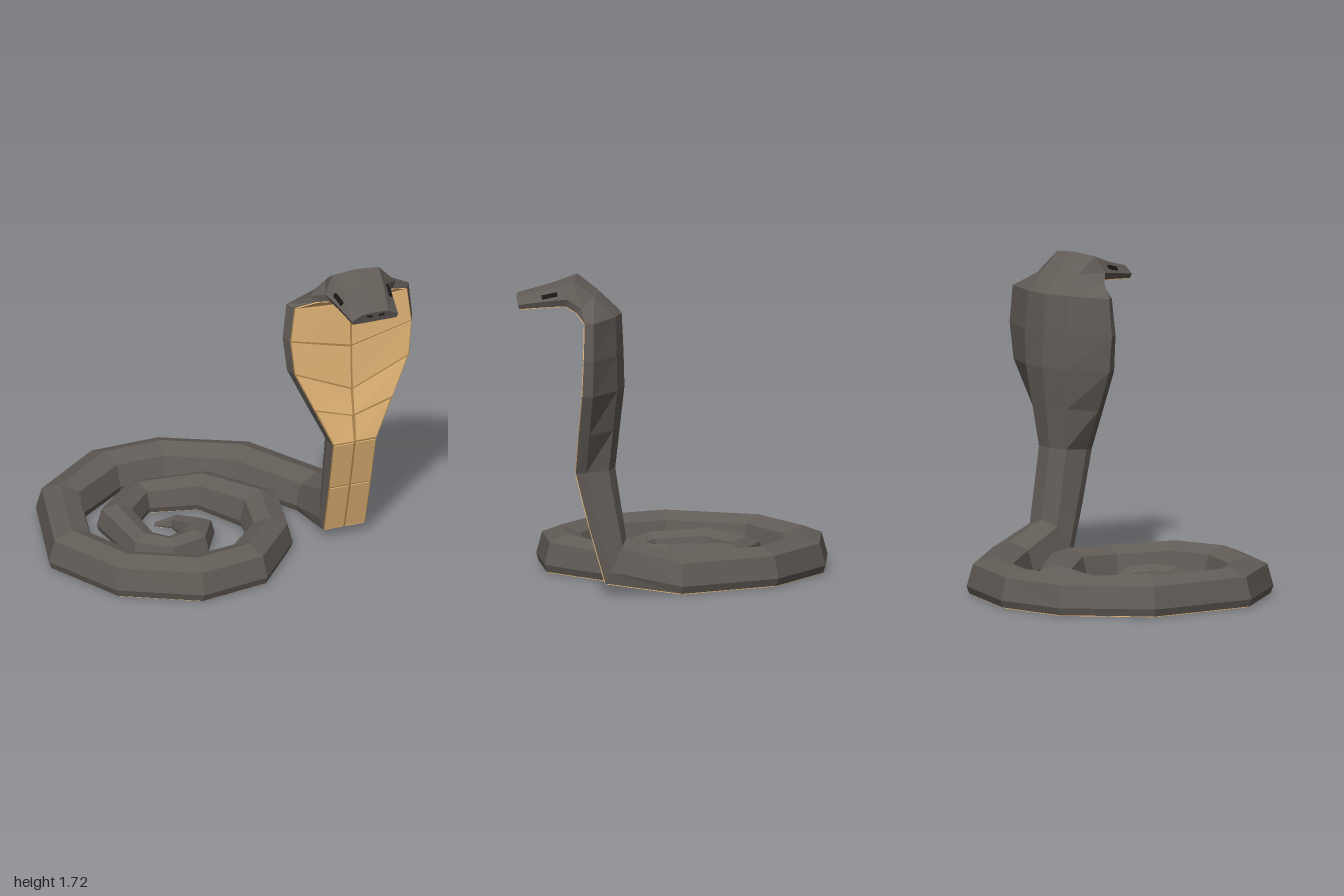
import * as THREE from 'three';

const V = (x, y, z) => new THREE.Vector3(x, y, z);
const NECK_X = 0.618;

// coil centreline from tail tip outwards: x, z, half width
const COIL = [
  [-0.30, -0.135, 0.012], [-0.20, -0.10, 0.04], [-0.125, 0.085, 0.085], [-0.20, 0.21, 0.09],
  [-0.35, 0.25, 0.087], [-0.475, 0.165, 0.095], [-0.51, -0.16, 0.107], [-0.305, -0.37, 0.1],
  [0.04, -0.305, 0.113], [0.25, 0.02, 0.13], [0.2, 0.31, 0.12], [-0.03, 0.58, 0.135],
  [-0.335, 0.63, 0.138], [-0.68, 0.45, 0.135], [-0.865, 0.10, 0.14], [-0.74, -0.41, 0.135],
  [-0.39, -0.67, 0.14], [-0.06, -0.68, 0.14], [0.33, -0.485, 0.143], [0.60, -0.05, 0.14],
];

// neck, hood and head: belly z,y; spine z,y; half widths of belly, side, shoulder; drop of belly crease
const NECK = [
  [0.325, 0.06, 0.22, 0.29, 0.12, 0.132, 0.1, 0],
  [0.41, 0.36, 0.25, 0.48, 0.122, 0.136, 0.1, 0],
  [0.485, 0.66, 0.28, 0.675, 0.125, 0.14, 0.1, 0],
  [0.463, 0.88, 0.255, 0.9, 0.225, 0.245, 0.125, 0.07],
  [0.438, 1.11, 0.23, 1.12, 0.33, 0.35, 0.15, 0.15],
  [0.428, 1.31, 0.235, 1.31, 0.35, 0.373, 0.16, 0.09],
  [0.425, 1.51, 0.245, 1.52, 0.325, 0.352, 0.14, 0.02],
  [0.48, 1.555, 0.37, 1.64, 0.22, 0.25, 0.13, 0],
  [0.54, 1.58, 0.49, 1.72, 0.165, 0.185, 0.135, 0],
  [0.62, 1.572, 0.62, 1.672, 0.148, 0.163, 0.115, 0],
  [0.79, 1.555, 0.81, 1.62, 0.125, 0.133, 0.075, 0],
];

// eight-point section: belly edge, side, shoulder, spine, mirrored, then belly crease
function section(base, up, side, widths, sideH, shoulderH, drop) {
  const p = (w, h) => base.clone().addScaledVector(side, w).addScaledVector(up, h);
  const [b, s, t] = widths;
  const crease = base.clone();
  crease.y -= drop;
  return [p(b, 0), p(s, sideH), p(t, shoulderH), p(0, 1),
    p(-t, shoulderH), p(-s, sideH), p(-b, 0), crease];
}

function buildRings() {
  const rings = COIL.map(([x, z, w], i) => {
    const here = V(x, 0, z);
    const dir = V(0, 0, 0);
    if (i > 0) dir.add(here.clone().sub(V(COIL[i - 1][0], 0, COIL[i - 1][1])).normalize());
    const next = COIL[i + 1] || [NECK_X, 0.3];
    dir.add(V(next[0], 0, next[1]).sub(here).normalize()).normalize();
    const height = Math.min(0.2, w * 1.5);
    return section(V(x, 0.005, z), V(0, height, 0), V(dir.z, 0, -dir.x),
      [w * 0.9, w, w * 0.76], 0.2, 0.8, 0);
  });
  NECK.forEach(([bz, by, sz, sy, b, s, t, drop], i) => {
    const base = V(NECK_X, by, bz);
    rings.push(section(base, V(NECK_X, sy, sz).sub(base), V(1, 0, 0),
      [b, s, t], i > 8 ? 0.35 : 0.28, i > 7 ? 0.93 : 0.86, drop));
  });
  return rings;
}

function soup(name, quads, material) {
  const pts = [];
  for (const [a, b, c, d] of quads) pts.push(a, b, c, a, c, d);
  const geo = new THREE.BufferGeometry().setFromPoints(pts);
  geo.computeVertexNormals();
  const mesh = new THREE.Mesh(geo, material);
  mesh.name = name;
  return mesh;
}

// thin raised plate, inset from the four given corners
function plate(corners, quads) {
  const [a, b, c, d] = corners;
  const n = c.clone().sub(a).cross(d.clone().sub(b)).normalize();
  const mix = (u, v) => a.clone().lerp(b, u).lerp(d.clone().lerp(c, u), v);
  const du = Math.min(0.3, 0.006 / a.distanceTo(b));
  const dv = Math.min(0.3, 0.006 / a.distanceTo(d));
  const low = [mix(du, dv), mix(1 - du, dv), mix(1 - du, 1 - dv), mix(du, 1 - dv)];
  const high = low.map((p) => p.clone().addScaledVector(n, 0.005));
  quads.push(high);
  for (let i = 0; i < 4; i++) {
    const j = (i + 1) % 4;
    quads.push([low[i], low[j], high[j], high[i]]);
  }
}

export function createModel() {
  const group = new THREE.Group();
  const mat = (color) => new THREE.MeshStandardMaterial({ color, flatShading: true });
  const skin = mat(0x625c57);
  const tan = mat(0xe6b878);
  const groove = mat(0xb08850);
  const dark = mat(0x1c1a19);

  const rings = buildRings();
  const hide = [], belly = [], scales = [];
  for (let i = 0; i < rings.length - 1; i++) {
    const A = rings[i], B = rings[i + 1];
    for (let j = 0; j < 8; j++) {
      const k = (j + 1) % 8;
      const quad = [A[j], A[k], B[k], B[j]];
      if (j < 6) { hide.push(quad); continue; }
      belly.push(quad);
      // two scale rows per coil segment, one per neck segment
      const rows = i > 1 && i < COIL.length - 1 ? 2 : 1;
      for (let r = 0; r < rows; r++) {
        const at = (q, t) => A[q].clone().lerp(B[q], t);
        const t0 = r / rows, t1 = (r + 1) / rows;
        plate([at(j, t0), at(k, t0), at(k, t1), at(j, t1)], scales);
      }
    }
  }
  // close the tail tip and the snout
  const tail = rings[0], snout = rings[rings.length - 1];
  for (let j = 1; j < 7; j += 2) {
    hide.push([tail[0], tail[j + 2] || tail[7], tail[j + 1], tail[j]]);
    hide.push([snout[0], snout[j], snout[j + 1], snout[j + 2]]);
  }
  group.add(soup('body', hide, skin), soup('bellyGrooves', belly, groove),
    soup('bellyScales', scales, tan));

  // eyes and nostrils
  const box = (name, size, pos, rot) => {
    const m = new THREE.Mesh(new THREE.BoxGeometry(...size), dark);
    m.name = name;
    m.position.set(...pos);
    m.rotation.set(...rot);
    group.add(m);
  };
  for (const s of [-1, 1]) {
    const label = s > 0 ? 'left' : 'right';
    box(label + 'Eye', [0.02, 0.022, 0.085], [NECK_X + s * 0.143, 1.63, 0.625], [0.25, -s * 0.15, s * 0.5]);
    box(label + 'Nostril', [0.03, 0.012, 0.012], [NECK_X + s * 0.035, 1.598, 0.802], [0, 0, s * 0.15]);
  }
  return group;
}
